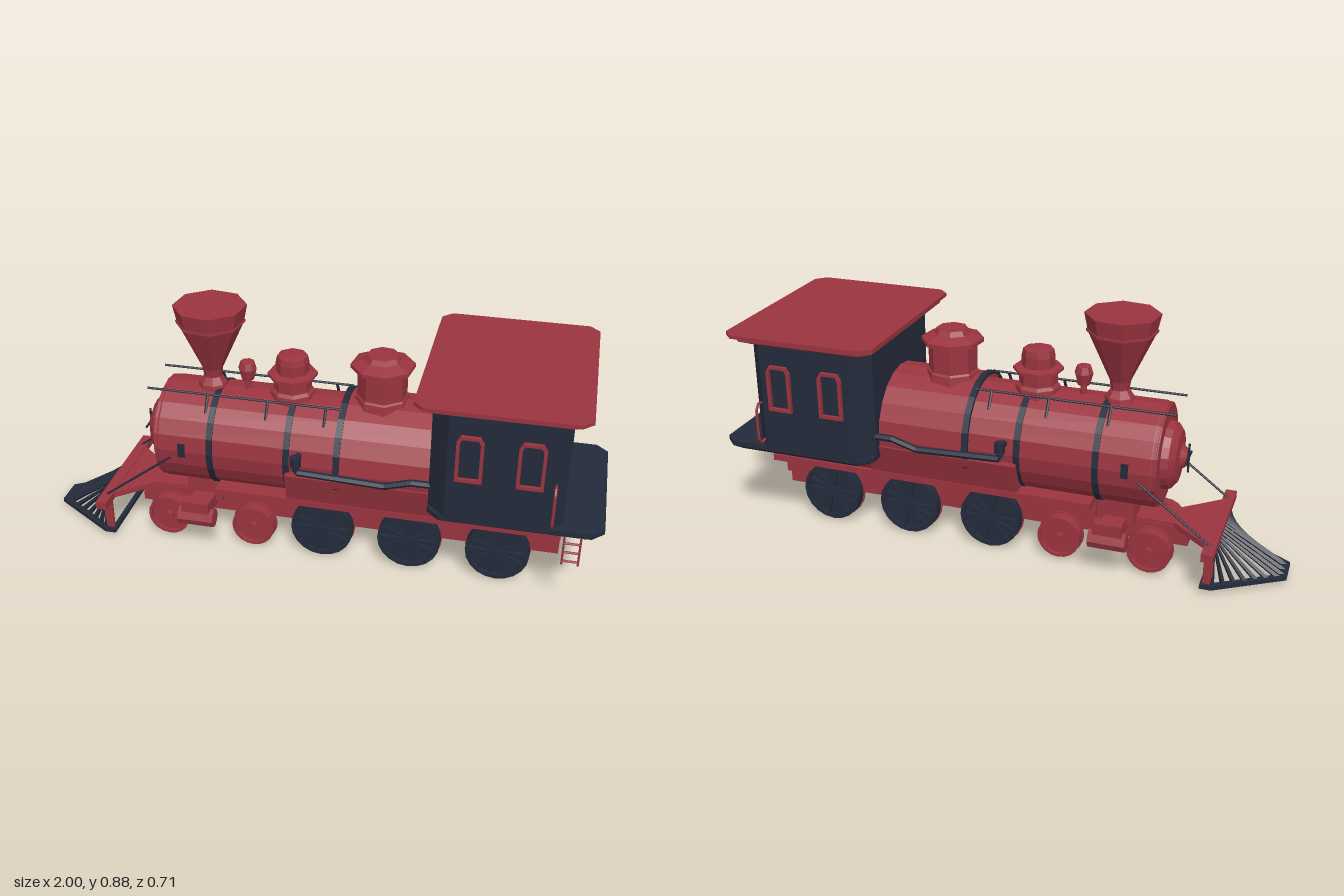
import * as THREE from 'three';

const red = new THREE.MeshStandardMaterial({ color: 0x9a343f, flatShading: true, side: THREE.DoubleSide });
const navy = new THREE.MeshStandardMaterial({ color: 0x232a3a, flatShading: true, side: THREE.DoubleSide });
const V = (x, y, z) => new THREE.Vector3(x, y, z);

export function createModel() {
  const model = new THREE.Group();
  const add = (name, geo, mat, x = 0, y = 0, z = 0) => {
    const m = new THREE.Mesh(geo, mat);
    m.name = name;
    m.position.set(x, y, z);
    model.add(m);
    return m;
  };
  // box given by its limits
  const box = (name, mat, x0, x1, y0, y1, z0, z1) =>
    add(name, new THREE.BoxGeometry(x1 - x0, y1 - y0, z1 - z0), mat, (x0 + x1) / 2, (y0 + y1) / 2, (z0 + z1) / 2);
  // straight bar between two points
  const rod = (name, mat, a, b, r0, r1 = r0, sides = 6) => {
    const d = b.clone().sub(a);
    const m = add(name, new THREE.CylinderGeometry(r1, r0, d.length(), sides), mat);
    m.position.copy(a).add(b).multiplyScalar(0.5);
    m.quaternion.setFromUnitVectors(V(0, 1, 0), d.normalize());
  };
  // bent pipe through straight runs
  const pipe = (name, mat, pts, r) => {
    const path = new THREE.CurvePath();
    for (let i = 1; i < pts.length; i++) path.add(new THREE.LineCurve3(pts[i - 1], pts[i]));
    add(name, new THREE.TubeGeometry(path, 40, r, 6), mat);
  };
  // horizontal plate with cut corners; the bottom may shrink by taper
  const slab = (name, mat, x0, x1, w, y0, y1, cf, cb, taper = 0) => {
    const s = new THREE.Shape([[x0 + cf, -w], [x1 - cb, -w], [x1, -w + cb], [x1, w - cb], [x1 - cb, w], [x0 + cf, w], [x0, w - cf], [x0, -w + cf]]
      .map(p => new THREE.Vector2(...p)));
    const g = new THREE.ExtrudeGeometry(s, { depth: y1 - y0, bevelEnabled: false }).rotateX(-Math.PI / 2);
    const p = g.attributes.position, cx = (x0 + x1) / 2;
    for (let i = 0; i < p.count; i++) if (p.getY(i) < 1e-5) {
      p.setX(i, cx + (p.getX(i) - cx) * (1 - taper / ((x1 - x0) / 2)));
      p.setZ(i, p.getZ(i) * (1 - taper / w));
    }
    add(name, g, mat, 0, y0, 0);
  };
  const lathe = (pts, sides) => new THREE.LatheGeometry(pts.map(p => new THREE.Vector2(...p)), sides);

  // boiler, lying along x, with the stepped smokebox front
  const boiler = [[0.205, 0.43], [0.205, 0.1], [0.185, 0.1], [0.185, -0.54], [0.175, -0.56], [0.12, -0.56],
    [0.115, -0.585], [0.09, -0.605], [0.045, -0.61], [0.03, -0.63], [0, -0.63]];
  add('boiler', lathe(boiler.map(([r, x]) => [r, -x]), 20).rotateZ(Math.PI / 2), red, 0, 0.4, 0);
  for (const [x, r] of [[-0.355, 0.189], [-0.08, 0.189], [0.1, 0.21], [-0.545, 0.182]]) {
    add('boilerBand', lathe([[r - 0.012, -0.011], [r, -0.011], [r, 0.011], [r - 0.012, 0.011]], 20).rotateZ(Math.PI / 2),
      x < -0.5 ? red : navy, x, 0.4, 0);
  }
  rod('smokeboxHandle', navy, V(-0.634, 0.345, 0), V(-0.634, 0.45, 0), 0.004);
  rod('smokeboxHandle', navy, V(-0.634, 0.4, -0.05), V(-0.634, 0.4, 0.05), 0.004);

  // chimney, domes and bell
  add('chimney', lathe([[0.055, 0.57], [0.05, 0.595], [0.032, 0.62], [0.036, 0.65], [0.115, 0.822], [0.12, 0.822],
    [0.12, 0.83], [0.116, 0.83], [0.128, 0.886], [0, 0.886]], 8).rotateY(0.25), red, -0.387, 0, 0);
  add('steamDome', lathe([[0.083, 0.55], [0.078, 0.595], [0.067, 0.605], [0.067, 0.648], [0.087, 0.652], [0.087, 0.662],
    [0.058, 0.668], [0.058, 0.705], [0.053, 0.728], [0.035, 0.733], [0, 0.733]], 8).rotateY(0.25), red, -0.098, 0, 0);
  add('sandDome', lathe([[0.098, 0.57], [0.092, 0.612], [0.086, 0.618], [0.086, 0.712], [0.11, 0.718], [0.11, 0.732],
    [0.065, 0.75], [0.055, 0.767], [0, 0.768]], 8).rotateY(0.25), red, 0.217, 0, 0);
  add('bell', lathe([[0.012, 0.57], [0.012, 0.615], [0.022, 0.618], [0.033, 0.66], [0.025, 0.685], [0, 0.688]], 8), red, -0.26, 0, 0);

  // cab
  slab('cab', navy, 0.42, 0.865, 0.288, 0.335, 0.74, 0.06, 0.045);
  slab('cabFloor', navy, 0.42, 1, 0.288, 0.328, 0.345, 0.04, 0.04);
  slab('cabFloorUnderside', navy, 0.42, 1, 0.288, 0.308, 0.328, 0.04, 0.04, 0.027);
  slab('roofCornice', red, 0.385, 0.905, 0.328, 0.73, 0.748, 0.035, 0.035, 0.037);
  slab('roofMoulding', red, 0.385, 0.905, 0.328, 0.748, 0.766, 0.035, 0.035);
  slab('roof', red, 0.37, 0.92, 0.355, 0.766, 0.778, 0.035, 0.035);

  // frame
  box('lowerFrame', red, -0.66, 0.865, 0.095, 0.165, -0.063, 0.063);
  box('upperFrame', red, -0.34, 0.865, 0.16, 0.24, -0.09, 0.09);
  box('rearFrame', red, 0.47, 0.865, 0.15, 0.325, -0.09, 0.09);
  box('runningBoard', red, -0.34, 0.865, 0.235, 0.258, -0.18, 0.18);
  const flare = (name, x0, x1, pts) => add(name, new THREE.ExtrudeGeometry(new THREE.Shape(pts.map(p => new THREE.Vector2(...p))),
    { depth: x1 - x0, bevelEnabled: false }).rotateY(Math.PI / 2), red, x0, 0, 0);
  flare('firebox', -0.08, 0.47, [[-0.175, 0.255], [0.175, 0.255], [0.21, 0.37], [-0.21, 0.37]]);
  flare('cabSupport', 0.47, 0.84, [[-0.165, 0.255], [0.165, 0.255], [0.205, 0.312], [-0.205, 0.312]]);
  box('saddle', red, -0.475, -0.345, 0.15, 0.25, -0.09, 0.09);

  // front deck and beam
  const deck = new THREE.Shape([[-0.75, -0.18], [-0.61, -0.06], [-0.33, -0.06], [-0.33, 0.06], [-0.61, 0.06], [-0.75, 0.18]]
    .map(p => new THREE.Vector2(...p)));
  add('frontDeck', new THREE.ExtrudeGeometry(deck, { depth: 0.02, bevelEnabled: false }).rotateX(-Math.PI / 2), red, 0, 0.155, 0);
  box('frontBeam', red, -0.775, -0.735, 0.15, 0.178, -0.243, 0.243);

  // cowcatcher: pointed base ring and fanned bars
  const ring = [[-1, -0.05], [-0.77, -0.198], [-0.73, -0.198], [-0.73, 0.198], [-0.77, 0.198], [-1, 0.05]];
  const base = new THREE.Shape(ring.map(p => new THREE.Vector2(...p)));
  base.holes.push(new THREE.Path(ring.map(([x, z]) => new THREE.Vector2(-0.83 + (x + 0.83) * 0.84, z * 0.84))));
  add('cowcatcherBase', new THREE.ExtrudeGeometry(base, { depth: 0.015, bevelEnabled: false }).rotateX(-Math.PI / 2), navy, 0, 0.02, 0);
  for (let i = -8; i <= 8; i++) {
    const t = Math.abs(i) / 8, s = Math.sign(i);
    const foot = t < 0.2 ? V(-0.985, 0.028, i * 0.035) : V(-0.985 + (t - 0.2) * 0.27, 0.028, s * (0.045 + (t - 0.2) * 0.17));
    rod('cowcatcherBar', navy, foot, V(-0.765, 0.16, i * 0.021), 0.009, 0.005, 4);
  }

  const wheel = (name, mat, x, y, r, s, spokes) => {
    const disc = (n, rad, z0, z1, m, sides = 20) =>
      add(n, new THREE.CylinderGeometry(rad, rad, z1 - z0, sides).rotateX(Math.PI / 2), m, x, y, s * (z0 + z1) / 2);
    disc(name + 'Flange', r + 0.004, 0.09, 0.097, red);
    disc(name + 'Disc', r * 0.9, 0.095, 0.122, mat);
    add(name + 'Tyre', lathe([[r * 0.87, -0.02], [r, -0.02], [r, 0.02], [r * 0.87, 0.02], [r * 0.87, -0.02]], 20).rotateX(Math.PI / 2),
      mat, x, y, s * 0.116);
    disc(name + 'Hub', r * 0.2, 0.1, 0.142, mat, 10);
    for (let i = 0; i < spokes; i++) {
      const g = new THREE.BoxGeometry(r * 0.8, 0.01, 0.016).translate(r * 0.5, 0, 0).rotateZ(i * 2 * Math.PI / spokes);
      add(name + 'Spoke', g, mat, x, y, s * 0.126);
    }
  };

  for (const s of [-1, 1]) {
    // wheels
    for (const x of [0.035, 0.348, 0.658]) wheel('drivingWheel', navy, x, 0.117, 0.111, s, 14);
    for (const x of [-0.54, -0.22]) wheel('leadingWheel', red, x, 0.086, 0.077, s, 0);
    // steam cylinder and its chest
    rod('steamCylinder', red, V(-0.475, 0.14, s * 0.188), V(-0.345, 0.14, s * 0.188), 0.034, 0.034, 8);
    box('steamChest', red, -0.46, -0.36, 0.165, 0.207, s * 0.188 - 0.022, s * 0.188 + 0.022);
    box('cylinderBracket', red, -0.45, -0.37, 0.13, 0.18, s * 0.12 - 0.06, s * 0.12 + 0.06);
    // pilot posts and boiler stays
    box('pilotPost', red, -0.77, -0.738, 0.025, 0.16, s * 0.18 - 0.005, s * 0.18 + 0.005);
    rod('boilerStay', navy, V(-0.77, 0.165, s * 0.18), V(-0.5, 0.37, s * 0.18), 0.004);
    // boiler rail with short posts, side hatch
    rod('handrail', navy, V(-0.6, 0.587, s * 0.09), V(0.1, 0.587, s * 0.09), 0.004);
    for (const x of [-0.38, -0.165, 0.04]) rod('railPost', navy, V(x, 0.587, s * 0.09), V(x, 0.53, s * 0.125), 0.005);
    box('boilerHatch', navy, -0.468, -0.444, 0.38, 0.43, s * 0.183 - 0.006, s * 0.183 + 0.006);
    // feed pipe
    pipe('feedPipe', navy, [V(-0.035, 0.45, s * 0.222), V(-0.035, 0.4, s * 0.222), V(0.27, 0.388, s * 0.222),
      V(0.36, 0.415, s * 0.222), V(0.44, 0.415, s * 0.222)], 0.012);
    rod('feedValve', navy, V(-0.035, 0.425, s * 0.222), V(-0.035, 0.46, s * 0.222), 0.02, 0.02, 8);
    rod('feedInlet', navy, V(-0.035, 0.44, s * 0.17), V(-0.035, 0.44, s * 0.225), 0.012);
    // cab windows
    for (const x of [0.508, 0.704]) {
      const f = new THREE.Shape([[0, 0], [0.088, 0], [0.088, 0.145], [0.075, 0.168], [0.013, 0.168], [0, 0.145]].map(p => new THREE.Vector2(...p)));
      f.holes.push(new THREE.Path([[0.011, 0.011], [0.077, 0.011], [0.077, 0.142], [0.07, 0.157], [0.018, 0.157], [0.011, 0.142]]
        .map(p => new THREE.Vector2(...p))));
      add('windowFrame', new THREE.ExtrudeGeometry(f, { depth: 0.02, bevelEnabled: false }).translate(0, 0, -0.01), red, x, 0.492, s * 0.291);
    }
    // cab grab handle
    pipe('grabHandle', red, [V(0.83, 0.51, s * 0.28), V(0.83, 0.515, s * 0.305), V(0.83, 0.495, s * 0.32), V(0.83, 0.385, s * 0.32),
      V(0.83, 0.365, s * 0.305), V(0.83, 0.37, s * 0.28)], 0.005);
  }

  // rear ladder, on one side only
  for (const x of [0.875, 0.928]) rod('ladderRail', red, V(x, 0.212, 0.279), V(x, 0.34, 0.279), 0.004);
  for (const y of [0.225, 0.26, 0.295]) rod('ladderRung', red, V(0.875, y, 0.279), V(0.928, y, 0.279), 0.004);

  return model;
}
